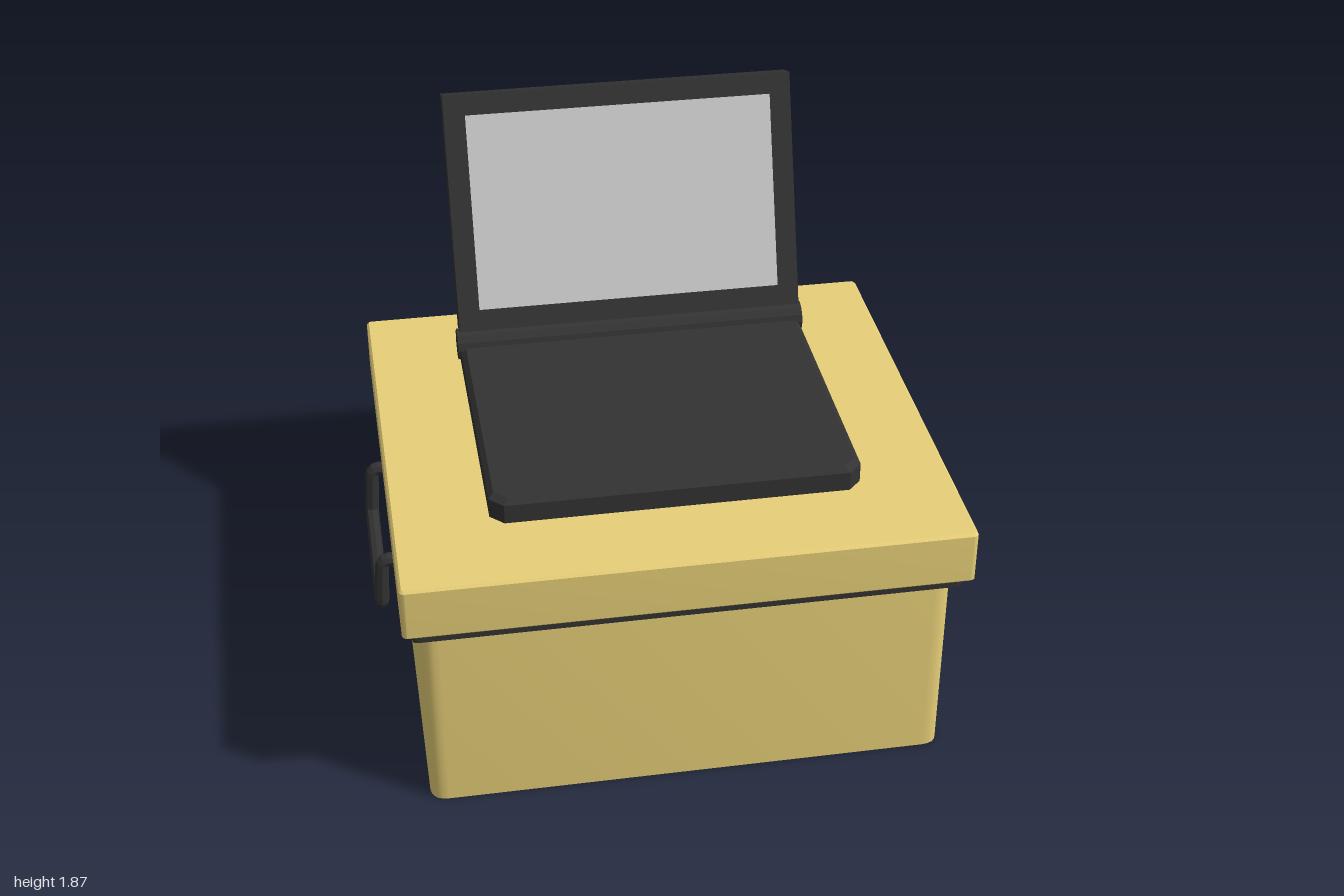
import * as THREE from 'three';
import { toCreasedNormals } from 'three/addons/utils/BufferGeometryUtils.js';

const gold = new THREE.MeshStandardMaterial({ color: 0xe8d078 });
const dark = new THREE.MeshStandardMaterial({ color: 0x333333, flatShading: true });
const grey = new THREE.MeshStandardMaterial({ color: 0xcccccc });

function add(parent, name, geometry, material, x = 0, y = 0, z = 0) {
  const mesh = new THREE.Mesh(geometry, material);
  mesh.name = name;
  mesh.position.set(x, y, z);
  parent.add(mesh);
  return mesh;
}

// Upright slab with rounded vertical corners and an optional small bevel, standing on y = 0
function roundedSlab(w, d, h, r, bevel = 0) {
  const a = w / 2 - bevel, b = d / 2 - bevel;
  const s = new THREE.Shape();
  s.moveTo(-a + r, -b);
  s.lineTo(a - r, -b).quadraticCurveTo(a, -b, a, -b + r);
  s.lineTo(a, b - r).quadraticCurveTo(a, b, a - r, b);
  s.lineTo(-a + r, b).quadraticCurveTo(-a, b, -a, b - r);
  s.lineTo(-a, -b + r).quadraticCurveTo(-a, -b, -a + r, -b);
  const g = new THREE.ExtrudeGeometry(s, {
    depth: h - 2 * bevel, curveSegments: 5, bevelEnabled: bevel > 0,
    bevelSize: bevel, bevelThickness: bevel, bevelSegments: 1,
  });
  g.translate(0, 0, bevel).rotateX(-Math.PI / 2);
  return toCreasedNormals(g, 0.7);
}

// Prism over an x/z outline whose upper rim is chamfered
function chamferedPrism(outline, h, chamfer) {
  const shape = new THREE.Shape(outline.map(([x, z]) => new THREE.Vector2(x, -z)));
  const g = new THREE.ExtrudeGeometry(shape, { depth: h, steps: 2, bevelEnabled: false });
  g.rotateX(-Math.PI / 2);
  g.computeBoundingBox();
  const mid = (g.boundingBox.min.z + g.boundingBox.max.z) / 2;
  const p = g.attributes.position;
  for (let i = 0; i < p.count; i++) {
    const y = p.getY(i);
    if (y > h * 0.9) {
      p.setX(i, p.getX(i) - Math.sign(p.getX(i)) * chamfer);
      p.setZ(i, p.getZ(i) - Math.sign(p.getZ(i) - mid) * chamfer);
    } else if (y > h * 0.1) p.setY(i, h - chamfer);
  }
  g.computeVertexNormals();
  return g;
}

// Straight runs joined by short rounded corners
function bentPath(points, r) {
  const path = new THREE.CurvePath();
  let from = points[0];
  for (let i = 1; i < points.length - 1; i++) {
    const c = points[i];
    const start = c.clone().add(points[i - 1].clone().sub(c).setLength(r));
    const end = c.clone().add(points[i + 1].clone().sub(c).setLength(r));
    path.add(new THREE.LineCurve3(from, start));
    path.add(new THREE.QuadraticBezierCurve3(start, c, end));
    from = end;
  }
  path.add(new THREE.LineCurve3(from, points[points.length - 1]));
  return path;
}

export function createModel() {
  const model = new THREE.Group();
  model.name = 'caseWithLaptop';

  // Storage case
  add(model, 'caseBody', roundedSlab(1.75, 1.57, 0.7, 0.06), gold);
  add(model, 'gasket', roundedSlab(1.8, 1.61, 0.045, 0.02), dark, 0, 0.69, 0);
  add(model, 'caseLid', roundedSlab(1.865, 1.675, 0.19, 0.01, 0.008), gold, 0, 0.73, 0);

  // Side plates and drop handles
  for (const side of [1, -1]) {
    const grip = new THREE.Group();
    grip.name = side > 0 ? 'leftGrip' : 'rightGrip';
    add(grip, 'handlePlate', new THREE.BoxGeometry(0.07, 0.115, 0.97), gold, 0.89, 0.5425, 0);
    const half = [[0.86, 0.638, 0.275], [0.966, 0.638, 0.275], [0.977, 0.452, 0.275]];
    const points = [...half, ...half.map(([x, y, z]) => [x, y, -z]).reverse()]
      .map((p) => new THREE.Vector3(...p));
    add(grip, 'handle', new THREE.TubeGeometry(bentPath(points, 0.025), 90, 0.024, 8), dark);
    if (side < 0) grip.rotation.y = Math.PI;
    model.add(grip);
  }

  // Laptop base with cut front corners
  const laptop = new THREE.Group();
  laptop.name = 'laptop';
  model.add(laptop);
  const base = [[-0.615, -0.49], [0.615, -0.49], [0.615, 0.51], [0.57, 0.555],
    [-0.57, 0.555], [-0.615, 0.51]];
  add(laptop, 'laptopBase', chamferedPrism(base, 0.085, 0.017), dark, 0, 0.942, 0);

  // Hinge barrel
  const barrel = new THREE.CylinderGeometry(0.055, 0.055, 1.25, 12).rotateZ(Math.PI / 2);
  add(laptop, 'hinge', barrel, dark, 0, 1.018, -0.455);

  // Tilted screen, its rim chamfered at the back
  const screen = new THREE.Group();
  screen.name = 'screen';
  screen.position.set(0, 1.08, -0.43);
  screen.rotation.x = -0.338;
  laptop.add(screen);
  const frame = [[-0.615, 0], [0.615, 0], [0.615, 0.835], [-0.615, 0.835]];
  add(screen, 'screenFrame', chamferedPrism(frame, 0.125, 0.026).rotateX(-Math.PI / 2), dark);
  add(screen, 'display', new THREE.PlaneGeometry(1.08, 0.688), grey, 0, 0.419, 0.003);

  return model;
}
